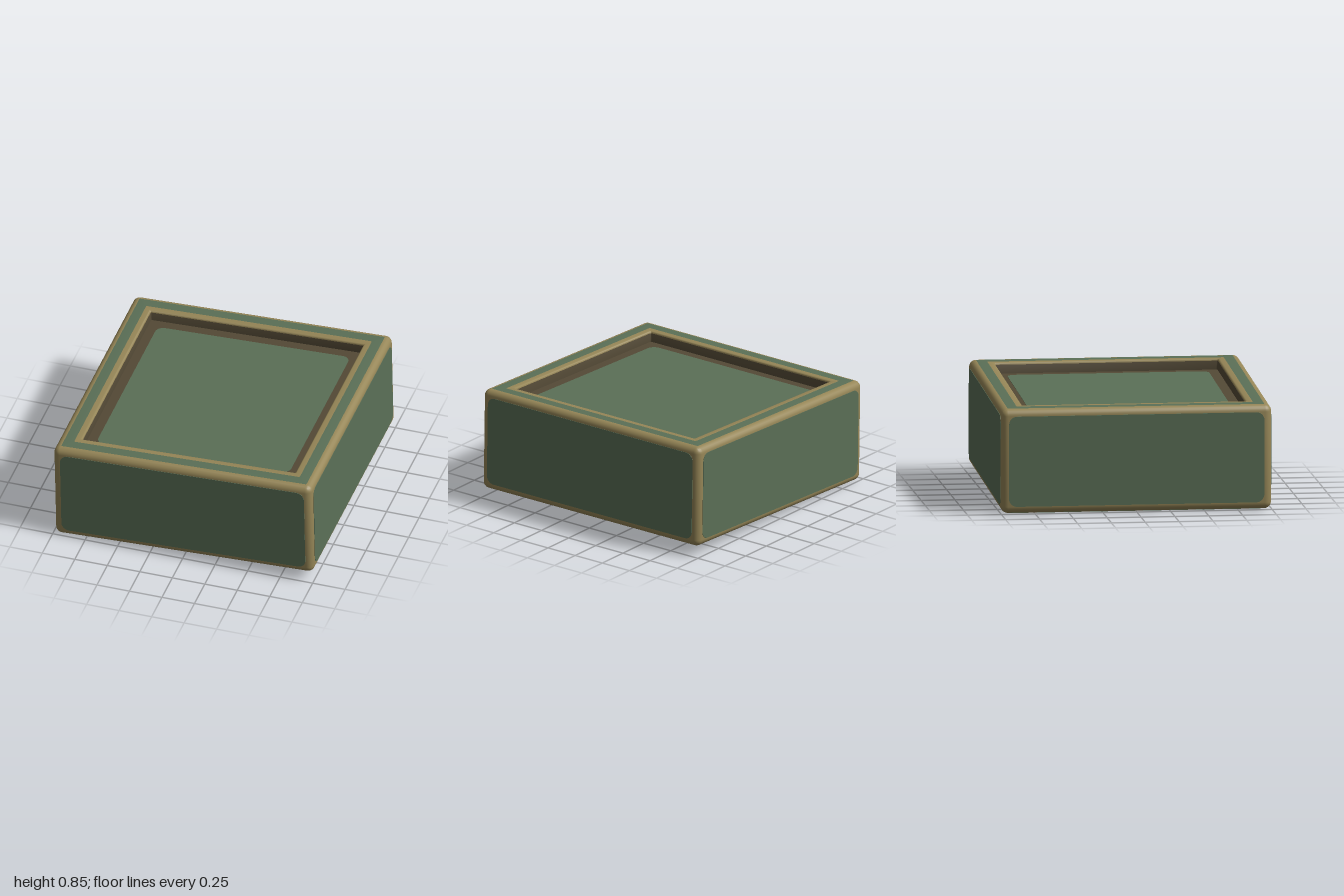
import * as THREE from 'three';
import { toCreasedNormals } from 'three/addons/utils/BufferGeometryUtils.js';

const HX = 0.993, HZ = 0.998, HY = 0.387; // half sizes of the block
const ROUND = 0.05;                       // edge rounding
const DEPTH = 0.08;                       // recess depth

const paint = (name, color) => {
  const m = new THREE.MeshStandardMaterial({ color });
  m.name = name;
  return m;
};

// Slight lean of the whole block: rises towards +x, top drifts towards -x
const lean = new THREE.Matrix4().set(
  1, -0.02, 0, 0,
  0.0395, 1, 0, 0.425,
  0, 0, 1, 0,
  0, 0, 0, 1
);

// Rounded rectangle loop in the XZ plane
function loop(hx, hz, r, y) {
  const pts = [];
  const steps = 6;
  const corners = [[1, 1], [-1, 1], [-1, -1], [1, -1]];
  corners.forEach(([sx, sz], q) => {
    for (let i = 0; i <= steps; i++) {
      const a = (q + i / steps) * Math.PI / 2;
      pts.push([sx * (hx - r) + r * Math.cos(a), y, sz * (hz - r) + r * Math.sin(a)]);
    }
  });
  return pts;
}

// Skin between successive loops, one material group per band
function loft(sections) {
  const pos = [];
  const geo = new THREE.BufferGeometry();
  for (let k = 0; k + 1 < sections.length; k++) {
    const a = sections[k].pts, b = sections[k + 1].pts, n = a.length;
    const start = pos.length / 3;
    for (let j = 0; j < n; j++) {
      const j1 = (j + 1) % n;
      pos.push(...a[j], ...b[j], ...b[j1], ...a[j], ...b[j1], ...a[j1]);
    }
    geo.addGroup(start, pos.length / 3 - start, sections[k].mat);
  }
  geo.setAttribute('position', new THREE.Float32BufferAttribute(pos, 3));
  return toCreasedNormals(geo, 0.6);
}

// Thin plate with rounded corners, facing +z
function plate(hw, hh, r) {
  const s = new THREE.Shape();
  s.moveTo(-hw + r, -hh);
  s.absarc(hw - r, -hh + r, r, -Math.PI / 2, 0);
  s.absarc(hw - r, hh - r, r, 0, Math.PI / 2);
  s.absarc(-hw + r, hh - r, r, Math.PI / 2, Math.PI);
  s.absarc(-hw + r, -hh + r, r, Math.PI, Math.PI * 1.5);
  return new THREE.ExtrudeGeometry(s, { depth: 0.006, bevelEnabled: false, curveSegments: 8 })
    .translate(0, 0, -0.003);
}

export function createModel() {
  const green = paint('mossGreen', 0x5b7057);
  const tan = paint('wornEdgeTan', 0x968657);
  const brown = paint('recessBrown', 0x544a36);
  const model = new THREE.Group();
  model.name = 'recessedBlock';

  const add = (name, geo, mat) => {
    const mesh = new THREE.Mesh(geo.applyMatrix4(lean), mat);
    mesh.name = name;
    model.add(mesh);
  };

  // Body: underside, rounded sides, rim, inner lip, recess wall and floor border
  const sections = [];
  const ring = (inset, y, mat) => sections.push({
    pts: loop(HX - inset, HZ - inset, Math.max(ROUND - inset, 0.008), y), mat
  });
  const GREEN = 0, TAN = 1, BROWN = 2;
  ring(0.2, -HY, TAN);
  for (let i = 0; i <= 6; i++) {
    const a = i / 6 * Math.PI / 2;
    ring(ROUND * (1 - Math.sin(a)), -HY + ROUND * (1 - Math.cos(a)), TAN);
  }
  for (let i = 0; i <= 6; i++) {
    const a = i / 6 * Math.PI / 2;
    ring(ROUND * (1 - Math.cos(a)), HY - ROUND * (1 - Math.sin(a)), i === 6 ? GREEN : TAN);
  }
  ring(0.125, HY, TAN);
  for (let i = 0; i <= 4; i++) {
    const a = i / 4 * Math.PI / 2;
    ring(0.16 + 0.015 * Math.sin(a), HY - 0.015 * (1 - Math.cos(a)), i === 4 ? BROWN : TAN);
  }
  ring(0.178, HY - DEPTH, BROWN);
  ring(0.4, HY - DEPTH, BROWN);
  add('body', loft(sections), [green, tan, brown]);

  // Flat green faces framed by the worn edges
  for (const [name, turn, dist, half] of [
    ['frontPanel', 0, HZ, 0.938], ['leftPanel', 1, HX, 0.943],
    ['backPanel', 2, HZ, 0.938], ['rightPanel', 3, HX, 0.943]
  ]) {
    add(name, plate(half, 0.335, 0.06).translate(0, 0, dist).rotateY(turn * Math.PI / 2), green);
  }
  add('bottomPanel', plate(0.945, 0.95, 0.05).rotateX(Math.PI / 2).translate(0, -HY, 0), green);
  add('recessFloor', plate(0.742, 0.745, 0.06).rotateX(-Math.PI / 2).translate(0, HY - DEPTH, 0), green);

  return model;
}
